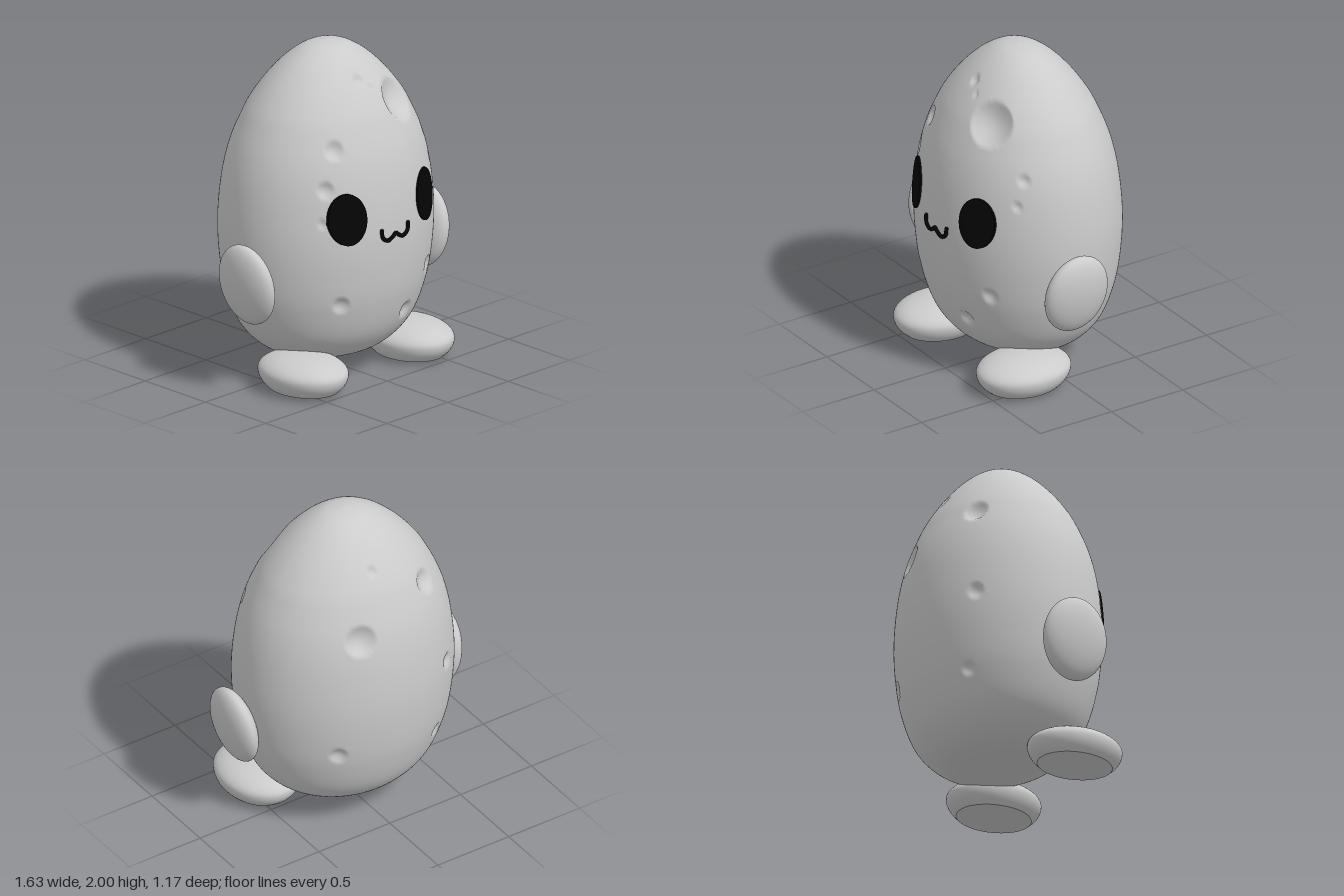
import * as THREE from 'three';
import { mergeVertices, toCreasedNormals } from 'three/addons/utils/BufferGeometryUtils.js';

const grey = new THREE.MeshStandardMaterial({ color: 0xcccccc });
const black = new THREE.MeshStandardMaterial({ color: 0x050505 });
const DEPTH = 0.84, ZC = -0.01; // body depth relative to width, and its z centre

// Egg profile, bottom to top (half width, height)
const profile = new THREE.SplineCurve([
  [0, 0.098], [0.2, 0.102], [0.39, 0.15], [0.545, 0.29], [0.635, 0.5], [0.675, 0.72], [0.685, 0.95],
  [0.66, 1.2], [0.61, 1.4], [0.53, 1.58], [0.465, 1.685], [0.37, 1.8], [0.255, 1.905], [0.13, 1.978], [0, 2],
].map(([x, y]) => new THREE.Vector2(x, y))).getSpacedPoints(150);
profile[0].x = profile[150].x = 0;

function halfWidth(y) {
  const i = Math.max(1, profile.findIndex((p) => p.y >= y));
  const a = profile[i - 1], b = profile[i];
  return THREE.MathUtils.mapLinear(y, a.y, b.y, a.x, b.x);
}

// z of the egg surface at x, y on the front (side 1) or back (side -1)
function surfaceZ(x, y, side = 1) {
  const a = halfWidth(y);
  return ZC + side * DEPTH * Math.sqrt(Math.max(0, a * a - x * x));
}

// Craters: x, y, side, radius
const craters = [
  [0.24, 1.66, 1, 0.14], [-0.02, 1.825, 1, 0.037], [0.05, 1.77, 1, 0.022],
  [-0.325, 1.49, 1, 0.06], [-0.415, 1.27, 1, 0.053], [-0.45, 1.07, 1, 0.03],
  [0.505, 1.385, 1, 0.04], [0.51, 1.23, 1, 0.032], [0.385, 0.62, 1, 0.05],
  [-0.335, 0.545, 1, 0.054], [0.18, 0.395, 1, 0.057],
  [0.2, 1.395, -1, 0.098], [-0.33, 1.545, -1, 0.078], [0.03, 1.75, -1, 0.034],
  [0.35, 0.62, -1, 0.055], [-0.44, 0.97, -1, 0.052], [-0.36, 0.5, -1, 0.045],
].map(([x, y, side, r]) => ({ c: new THREE.Vector3(x, y, surfaceZ(x, y, side)), r }));

function bodyGeometry() {
  let g = new THREE.LatheGeometry(profile, 290);
  g.scale(1, 1, DEPTH);
  g.translate(0, 0, ZC);
  g.deleteAttribute('uv');
  g.deleteAttribute('normal');
  g = mergeVertices(g, 1e-5);
  g.computeVertexNormals();
  // Press each crater in along the surface normal
  const pos = g.attributes.position, nor = g.attributes.normal;
  const p = new THREE.Vector3(), n = new THREE.Vector3();
  for (let i = 0; i < pos.count; i++) {
    p.fromBufferAttribute(pos, i);
    n.fromBufferAttribute(nor, i);
    let push = 0;
    for (const { c, r } of craters) {
      const q = p.distanceTo(c) / r;
      if (q < 1) push = Math.max(push, 0.42 * r * (1 - q * q));
    }
    p.addScaledVector(n, -push);
    pos.setXYZ(i, p.x, p.y, p.z);
  }
  g.computeVertexNormals();
  return g;
}

// Oval patch lying just above the egg, its rim tucked into the surface
function eyeGeometry(cx, cy) {
  const g = new THREE.RingGeometry(0.001, 1, 48, 10);
  const pos = g.attributes.position;
  for (let i = 0; i < pos.count; i++) {
    const u = pos.getX(i), v = pos.getY(i);
    const rim = Math.hypot(u, v) > 0.99;
    const k = rim ? 1.1 : 1.105; // last two rings form a steep edge
    const s = rim ? 1 : k;
    const x = cx + u * 0.111 * s, y = cy + v * 0.157 * s;
    pos.setXYZ(i, x, y, surfaceZ(x, y) + (rim ? -0.02 : 0.014));
  }
  g.computeVertexNormals();
  return toCreasedNormals(g, 0.7);
}

// Rounded foot with a slightly domed flat sole
function footGeometry() {
  const pts = [new THREE.Vector2(0, 0), new THREE.Vector2(0.45, 0.004), new THREE.Vector2(0.79, 0.015)];
  const start = -Math.asin(0.62);
  for (let i = 1; i <= 26; i++) {
    const t = THREE.MathUtils.lerp(start, Math.PI / 2, i / 26);
    pts.push(new THREE.Vector2(i === 26 ? 0 : Math.cos(t), 0.115 + Math.sin(t) * (t < 0 ? 0.16 : 0.105)));
  }
  const g = new THREE.LatheGeometry(pts, 56);
  g.scale(0.236, 1, 0.295);
  return toCreasedNormals(g, 0.42);
}

export function createModel() {
  const model = new THREE.Group();
  const add = (name, geometry, material = grey) => {
    const mesh = new THREE.Mesh(geometry, material);
    mesh.name = name;
    model.add(mesh);
    return mesh;
  };

  add('body', bodyGeometry());

  for (const [side, s] of [['left', 1], ['right', -1]]) {
    add(side + 'Eye', eyeGeometry(s * 0.318, 1.085), black);

    // Flattened arm, leaning outward at the top
    const arm = add(side + 'Arm', new THREE.SphereGeometry(1, 48, 32));
    arm.scale.set(0.09, 0.252, 0.212);
    arm.position.set(s * 0.718, 0.675, 0.06);
    arm.rotation.z = -s * 0.14;

    add(side + 'Foot', footGeometry()).position.set(s * 0.436, 0, 0.242);
  }

  // Wavy smile following the egg
  const half = [[0.107, 0.98], [0.1, 0.935], [0.063, 0.912], [0.027, 0.925]];
  const smile = [...half.map(([x, y]) => [-x, y]), [0, 0.944], ...half.reverse()]
    .map(([x, y]) => new THREE.Vector3(x, y, surfaceZ(x, y) + 0.006));
  const path = new THREE.CatmullRomCurve3(smile);
  add('mouth', new THREE.TubeGeometry(path, 64, 0.012, 10), black);
  for (const end of [smile[0], smile[smile.length - 1]]) {
    add('mouthEnd', new THREE.SphereGeometry(0.012, 12, 8), black).position.copy(end);
  }
  return model;
}
